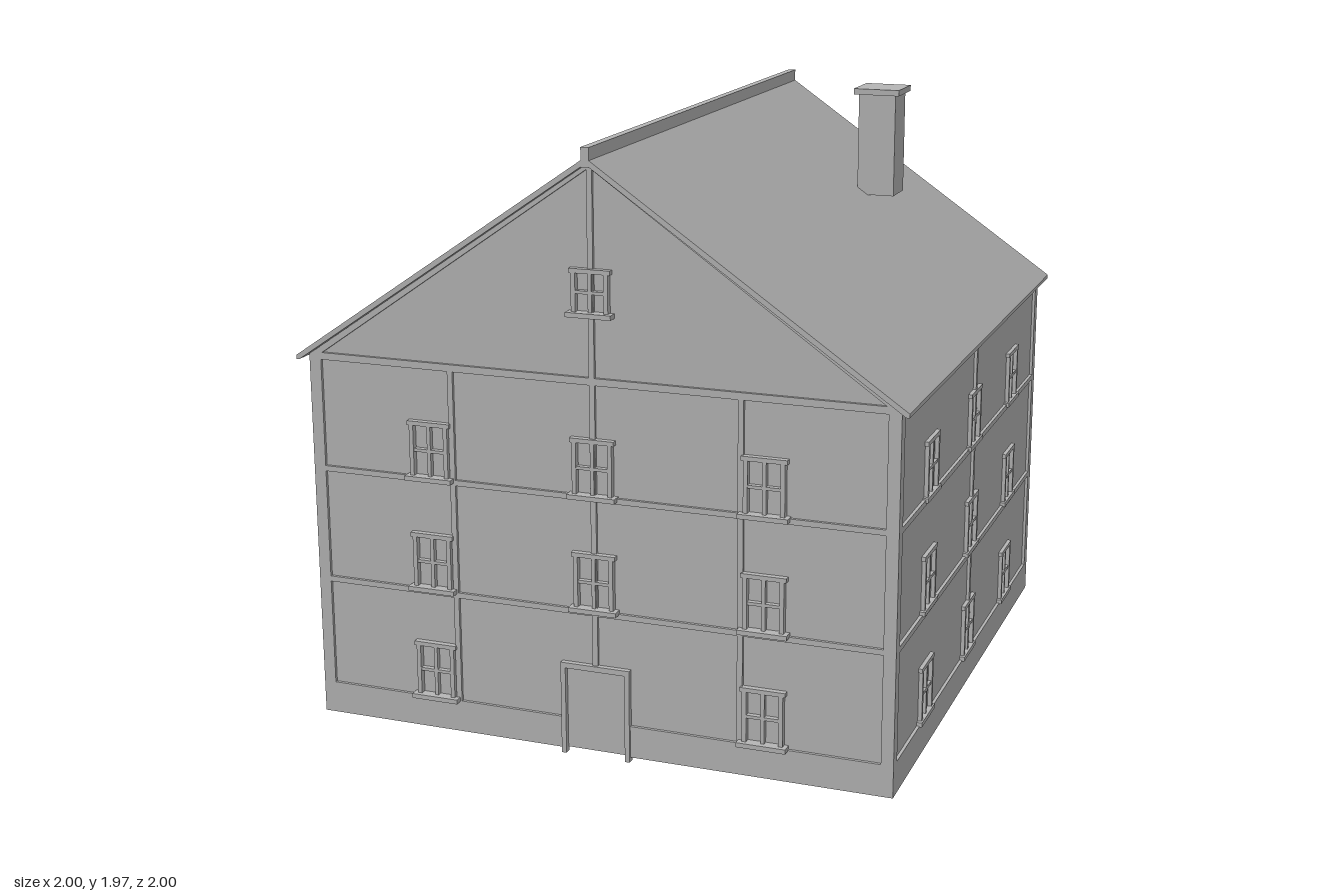
import * as THREE from 'three';

const plaster = new THREE.MeshStandardMaterial({ color: 0xb6b6b6 });
plaster.name = 'plain grey';

const INNER = 0.93; // how far in the timbers start
const WALL = 0.96; // wall panel plane
const BEAM = 0.97; // timber and plinth plane

function box(parent, name, x0, x1, y0, y1, z0, z1) {
  const mesh = new THREE.Mesh(new THREE.BoxGeometry(x1 - x0, y1 - y0, z1 - z0), plaster);
  mesh.position.set((x0 + x1) / 2, (y0 + y1) / 2, (z0 + z1) / 2);
  mesh.name = name;
  parent.add(mesh);
  return mesh;
}

// Solid prism from an outline, running from z0 to z1
function prism(parent, name, points, z0, z1, hole) {
  const toVec = (p) => new THREE.Vector2(p[0], p[1]);
  const shape = new THREE.Shape(points.map(toVec));
  if (hole) shape.holes.push(new THREE.Path(hole.map(toVec)));
  const geo = new THREE.ExtrudeGeometry(shape, { depth: z1 - z0, bevelEnabled: false });
  geo.translate(0, 0, z0);
  const mesh = new THREE.Mesh(geo, plaster);
  mesh.name = name;
  parent.add(mesh);
}

// Cross window with lintel and sill, its foot at y
function windowUnit(parent, x, y, width, height, depth, sillDepth, bars) {
  const g = new THREE.Group();
  g.name = 'window';
  g.position.set(x, y, 0);
  const w = width / 2;
  const t = 0.014;
  for (const s of [-1, 1]) {
    const c = s * (w - t / 2);
    box(g, 'windowJamb', c - t / 2, c + t / 2, 0.01, height - 0.012, INNER, depth);
  }
  box(g, 'windowLintel', -w - 0.007, w + 0.007, height - 0.014, height, INNER, depth);
  box(g, 'windowSill', -w - 0.014, w + 0.014, -0.003, 0.012, INNER, sillDepth);
  if (bars) {
    const mid = height / 2;
    box(g, 'mullion', -0.006, 0.006, 0.01, height - 0.012, INNER, depth - 0.003);
    box(g, 'transom', -w + t, w - t, mid - 0.005, mid + 0.005, INNER, depth - 0.003);
  }
  parent.add(g);
}

const FLOORS = [0.12, 0.49, 0.86];

// Corner posts, floor beams and uprights of one wall, facing +z before turning
function timberWall(name, angle, uprights, hasDoor) {
  const g = new THREE.Group();
  g.name = name;
  g.rotation.y = angle;
  for (const y of [0.482, 0.858, 1.228]) {
    box(g, 'floorBeam', -BEAM, BEAM, y - 0.009, y + 0.009, INNER, BEAM);
  }
  for (const s of [-1, 1]) {
    const c = s * 0.9575;
    box(g, 'cornerPost', c - 0.0125, c + 0.0125, 0.12, 1.235, INNER, BEAM);
  }
  for (const x of uprights) {
    const foot = hasDoor && x === 0 ? 0.3 : 0.12;
    box(g, 'upright', x - 0.009, x + 0.009, foot, 1.235, INNER, BEAM);
  }
  return g;
}

// Gable framing and doorway for the two end walls
function addGableAndDoor(g) {
  prism(g, 'gableRafters', [[-0.97, 1.22], [0.97, 1.22], [0.97, 1.235], [0, 1.9], [-0.97, 1.235]],
    INNER, BEAM, [[-0.925, 1.242], [0, 1.885], [0.925, 1.242]]);
  box(g, 'gablePost', -0.009, 0.009, 1.23, 1.89, INNER, BEAM);
  for (const s of [-1, 1]) {
    const c = s * 0.108;
    box(g, 'doorPost', c - 0.008, c + 0.008, 0, 0.308, 0.953, 0.978);
    // Plinth stops either side of the door
    const p = s * 0.535;
    box(g, 'plinth', p - 0.435, p + 0.435, 0.015, 0.12, INNER, BEAM);
  }
  box(g, 'doorLintel', -0.116, 0.116, 0.29, 0.308, 0.953, 0.978);
}

export function createModel() {
  const model = new THREE.Group();
  model.name = 'house';

  // Wall core with both gables
  prism(model, 'wallCore', [[-WALL, 0.015], [WALL, 0.015], [WALL, 1.235], [0, 1.895], [-WALL, 1.235]], -WALL, WALL);

  // Front wall
  const front = timberWall('frontWall', 0, [-0.478, 0, 0.478], true);
  addGableAndDoor(front);
  for (const y of FLOORS) {
    for (const x of [-0.555, 0, 0.555]) {
      if (x === 0 && y === FLOORS[0]) continue;
      windowUnit(front, x, y, 0.132, 0.19, 0.98, 0.995, true);
    }
  }
  windowUnit(front, 0, 1.435, 0.12, 0.145, 0.98, 0.995, true);
  model.add(front);

  // Back wall, with windows almost flush
  const back = timberWall('backWall', Math.PI, [-0.478, 0, 0.478], true);
  addGableAndDoor(back);
  for (const y of FLOORS) {
    for (const x of [-0.555, 0.555]) windowUnit(back, x, y, 0.132, 0.19, 0.9615, 0.9625, false);
  }
  model.add(back);

  // Side walls
  for (const s of [-1, 1]) {
    const side = timberWall(s > 0 ? 'leftWall' : 'rightWall', s * Math.PI / 2, [0], false);
    box(side, 'plinth', -BEAM, BEAM, 0.015, 0.12, INNER, BEAM);
    for (const y of FLOORS) {
      for (const x of [-0.575, 0, 0.575]) windowUnit(side, x, y, 0.138, 0.19, 0.973, 0.978, true);
    }
    model.add(side);
  }

  // Roof slabs and ridge
  prism(model, 'roof', [[-1, 1.222], [-0.99, 1.222], [0, 1.9], [0.99, 1.222], [1, 1.222], [1, 1.235], [0, 1.92], [-1, 1.235]], -1, 1);
  box(model, 'ridgeBeam', -0.013, 0.013, 1.89, 1.95, -1, 1);

  // Chimney
  box(model, 'chimney', 0.43, 0.56, 1.6, 1.95, -0.545, -0.415);
  box(model, 'chimneyCap', 0.415, 0.575, 1.95, 1.97, -0.56, -0.4);

  return model;
}
